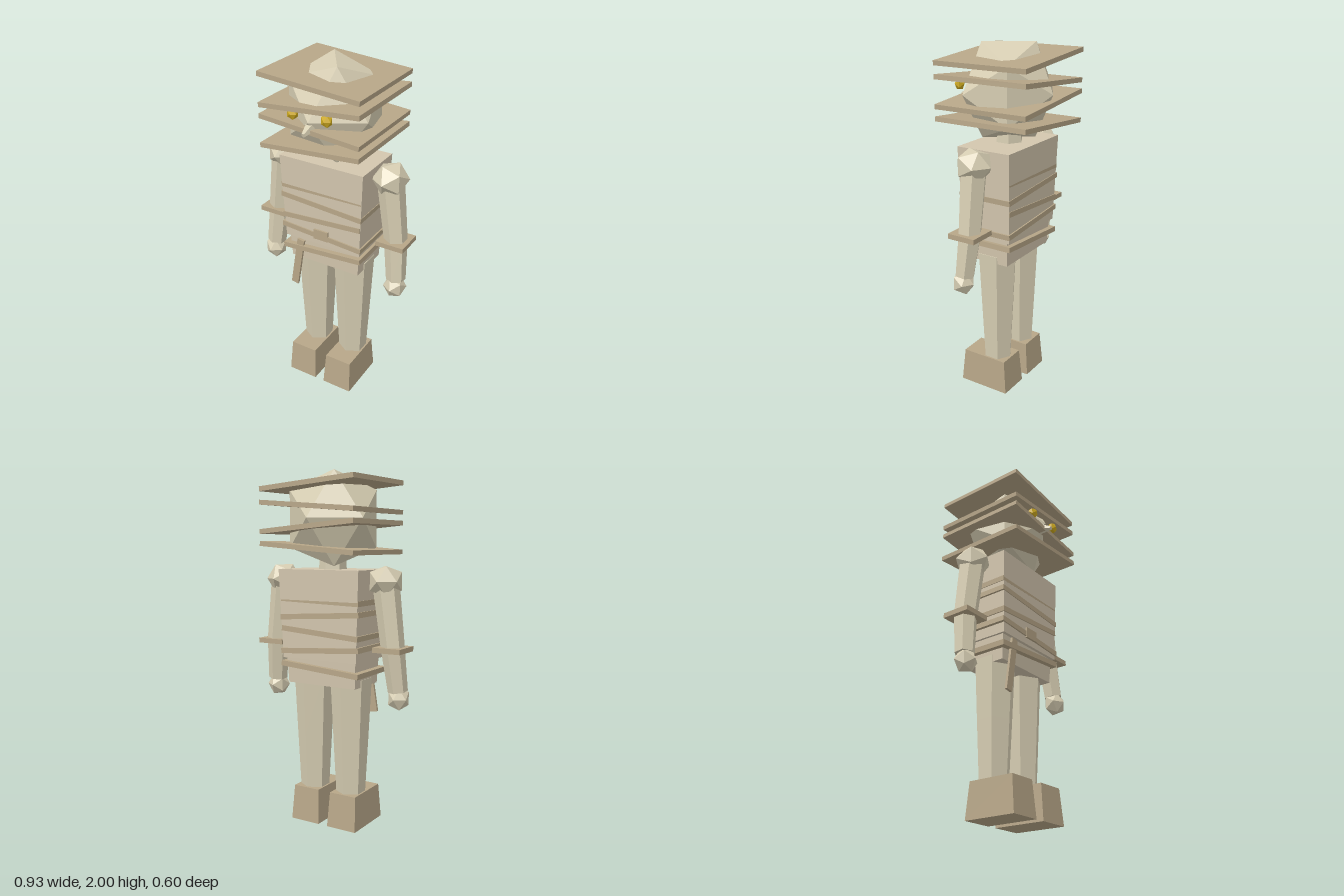
import * as THREE from 'three';

const mat = (name, color) => {
  const m = new THREE.MeshStandardMaterial({ color, flatShading: true });
  m.name = name;
  return m;
};

export function createModel() {
  const model = new THREE.Group();
  model.name = 'wrappedFigure';
  const linen = mat('pale linen', 0xd6cdb2);
  const cloth = mat('torso cloth', 0xd3c6ae);
  const wrap = mat('dark wrapping', 0xb7a688);
  const gold = mat('gold', 0xd0ac20);
  const DEPTH = -0.018; // body centre line in z

  function add(name, geometry, material, pos, rot = [0, 0, 0]) {
    const mesh = new THREE.Mesh(geometry, material);
    mesh.name = name;
    mesh.position.set(...pos);
    mesh.rotation.set(...rot);
    model.add(mesh);
    return mesh;
  }

  // Box whose upper end has a different width and depth
  function taperedBox(wTop, dTop, wBottom, dBottom, h) {
    const g = new THREE.BoxGeometry(1, h, 1);
    const p = g.attributes.position;
    for (let i = 0; i < p.count; i++) {
      const top = p.getY(i) > 0;
      p.setX(i, p.getX(i) * (top ? wTop : wBottom));
      p.setZ(i, p.getZ(i) * (top ? dTop : dBottom));
    }
    g.computeVertexNormals();
    return g;
  }

  // Coarse ball turned so one edge lies on top
  const ball = (rx, ry, rz, turn = -1.01) =>
    new THREE.IcosahedronGeometry(1, 0).rotateY(turn).scale(rx, ry, rz);

  // Six-sided limb segment between two points
  function limb(name, from, to, rFrom, rTo) {
    const a = new THREE.Vector3(...from), b = new THREE.Vector3(...to);
    const dir = a.clone().sub(b);
    const mesh = add(name, new THREE.CylinderGeometry(rFrom, rTo, dir.length(), 6), linen,
      a.clone().add(b).multiplyScalar(0.5).toArray());
    mesh.quaternion.setFromUnitVectors(new THREE.Vector3(0, 1, 0), dir.normalize());
  }

  // Torso, hips and neck
  add('torso', taperedBox(0.515, 0.325, 0.475, 0.3, 0.5), cloth, [0, 1.22, DEPTH]);
  add('hips', taperedBox(0.45, 0.265, 0.435, 0.25, 0.16), cloth, [0, 0.905, DEPTH]);
  add('neck', new THREE.CylinderGeometry(0.07, 0.08, 0.12, 6), linen, [0, 1.51, DEPTH]);

  // Head and its slanted wrappings: height and tilt
  add('head', ball(0.287, 0.3, 0.27), linen, [0, 1.745, -0.015]);
  for (const [y, tilt] of [[1.925, -0.077], [1.808, 0.08], [1.7, -0.085], [1.587, 0.08]]) {
    add('headWrap', new THREE.BoxGeometry(0.59, 0.026, 0.56), wrap, [0, y, -0.02], [0, 0, tilt]);
  }

  // Face
  for (const s of [-1, 1]) {
    add(s > 0 ? 'leftEye' : 'rightEye', ball(0.033, 0.036, 0.028), gold, [s * 0.1, 1.772, 0.236]);
  }
  add('nose', new THREE.CylinderGeometry(0.012, 0.035, 0.08, 5), linen, [0, 1.705, 0.255], [1.85, 0, 0]);

  // Torso wrappings: height, tilt, width, depth
  const bands = [
    [1.3, 0.025, 0.5, 0.3165], [1.218, -0.065, 0.508, 0.321], [1.122, 0.07, 0.494, 0.317],
    [1.026, -0.07, 0.504, 0.319], [0.92, 0.075, 0.5, 0.319],
  ];
  for (const [y, tilt, w, d] of bands) {
    add('torsoWrap', new THREE.BoxGeometry(w, 0.03, d), wrap, [-0.004, y, DEPTH], [0, 0, tilt]);
  }
  add('knot', new THREE.BoxGeometry(0.09, 0.06, 0.04), wrap, [-0.002, 1.037, 0.125]);
  add('looseStrip', new THREE.BoxGeometry(0.045, 0.315, 0.015), wrap, [-0.167, 0.803, 0.127], [0, 0, -0.16]);

  // Arms and legs, mirrored
  for (const s of [-1, 1]) {
    const side = s > 0 ? 'left' : 'right';
    const shoulder = [s * 0.335, 1.41, DEPTH];
    const elbow = [s * 0.382, 1.05, DEPTH];
    const wrist = [s * 0.405, 0.81, 0.004];
    add(side + 'Shoulder', ball(0.1, 0.095, 0.106, s * 1.01), linen, shoulder);
    limb(side + 'UpperArm', shoulder, elbow, 0.074, 0.065);
    limb(side + 'Forearm', elbow, wrist, 0.065, 0.055);
    add(side + 'Hand', ball(0.066, 0.07, 0.066, s * 1.01), linen, [s * 0.405, 0.77, 0.013]);
    add(side + 'ArmWrap', new THREE.BoxGeometry(0.165, 0.028, 0.165), wrap, [s * 0.382, 1.044, DEPTH]);

    limb(side + 'Thigh', [s * 0.122, 0.865, -0.02], [s * 0.122, 0.52, -0.02], 0.117, 0.1);
    limb(side + 'Shin', [s * 0.122, 0.52, -0.02], [s * 0.122, 0.19, -0.02], 0.1, 0.083);
    add(side + 'Foot', taperedBox(0.165, 0.275, 0.185, 0.31, 0.2), wrap, [s * 0.122, 0.1, 0.024]);
  }
  return model;
}
